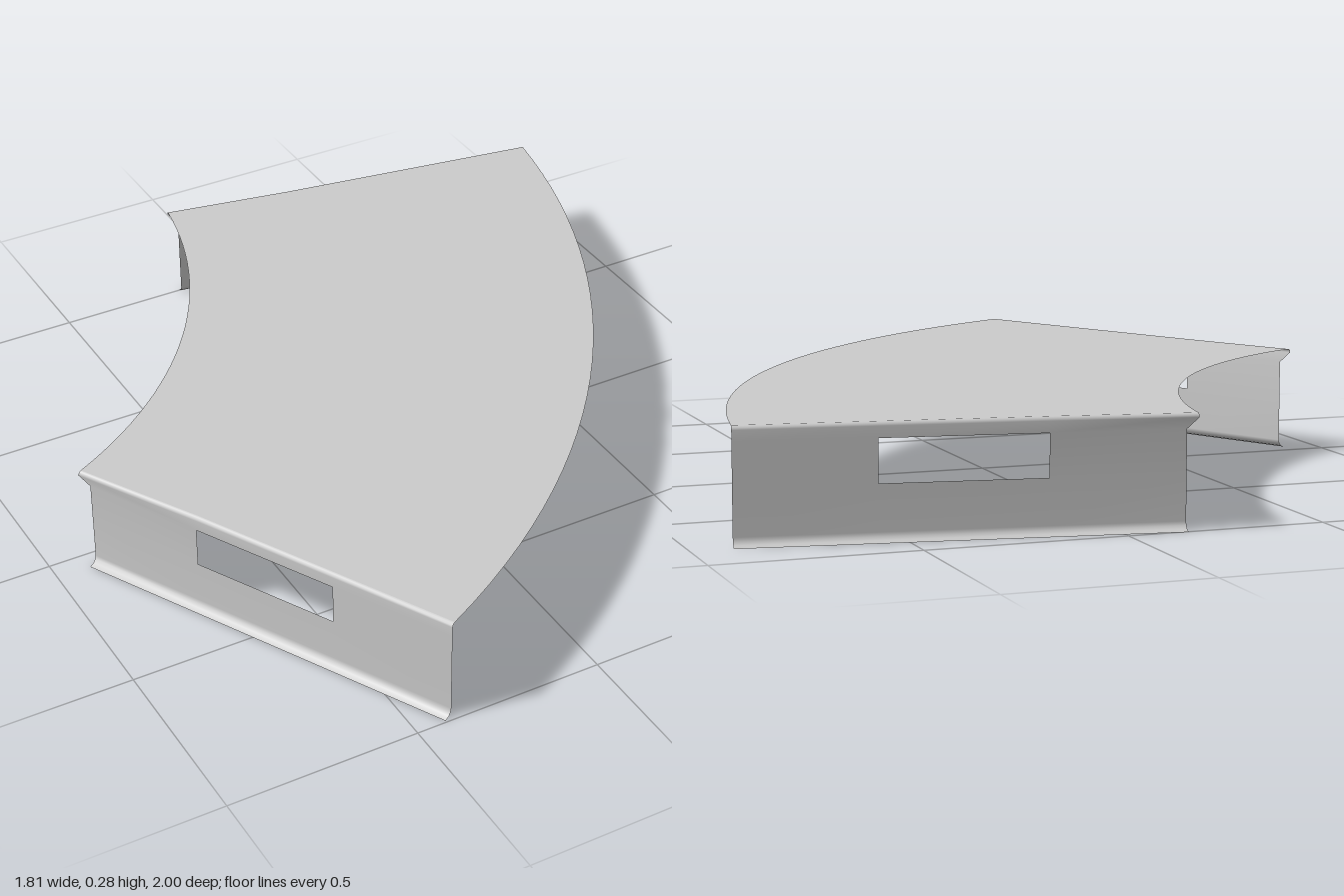
import * as THREE from 'three';

// Curved sheet: arc centre in plan, radii, end angles and height
const CX = -1.53, CZ = -1.195;
const R0 = 1.366, R1 = 2.455, NOTCH = 0.027;
const A0 = THREE.MathUtils.degToRad(8.85), A1 = THREE.MathUtils.degToRad(62.6);
const TOP = 0.278, BEND = 0.01;
const SLOT = [1.72, 2.12], SLOT_Y = [0.24, 0.135];
const stations = [R0, SLOT[0], SLOT[1], R1];

const material = new THREE.MeshStandardMaterial({ color: 0xcccccc, side: THREE.DoubleSide });

// Indexed grid surface; skip(i, j) leaves a hole in a cell
function gridMesh(name, rows, cols, point, flip = false, skip = () => false) {
  const pos = [], index = [];
  for (let i = 0; i < rows; i++)
    for (let j = 0; j < cols; j++) pos.push(...point(i, j));
  for (let i = 0; i < rows - 1; i++)
    for (let j = 0; j < cols - 1; j++) {
      if (skip(i, j)) continue;
      const a = i * cols + j, b = a + cols, c = b + 1, d = a + 1;
      index.push(...(flip ? [a, c, b, a, d, c] : [a, b, c, a, c, d]));
    }
  const geo = new THREE.BufferGeometry();
  geo.setAttribute('position', new THREE.Float32BufferAttribute(pos, 3));
  geo.setIndex(index);
  geo.computeVertexNormals();
  const mesh = new THREE.Mesh(geo, material);
  mesh.name = name;
  return mesh;
}

// The inner top corner of each end leans slightly outward
const lean = (j) => (j === 0 ? 0.01 : 0);

// Flange profile from top to lip: [outward offset, height]
const profile = [
  [-BEND, TOP], [-0.005, TOP - 0.0013], [-0.0013, TOP - 0.005], [0, TOP - BEND],
  [0, SLOT_Y[0]], [0, SLOT_Y[1]], [0, 0.022],
  [0.003, 0.012], [0.01, 0.005], [0.024, 0],
];

// Bent-down end with a rectangular slot and a flared bottom lip
function flange(name, angle, side) {
  const c = Math.cos(angle), s = Math.sin(angle);
  const point = (i, j) => {
    const upper = i < 4;
    const r = j === 0 && !upper ? R0 + NOTCH : stations[j];
    const out = side * (profile[i][0] + (upper ? lean(j) : 0));
    return [CX + r * c - out * s, profile[i][1], CZ + r * s + out * c];
  };
  return gridMesh(name, profile.length, stations.length, point, side < 0,
    (i, j) => i === 4 && j === 1);
}

export function createModel() {
  const group = new THREE.Group();
  group.name = 'curvedCover';

  // Top plate swept between the two end bends
  const SEG = 28;
  group.add(gridMesh('topPlate', SEG + 1, stations.length, (i, j) => {
    const r = stations[j], inset = (BEND - lean(j)) / r;
    const a = THREE.MathUtils.lerp(A0 + inset, A1 - inset, i / SEG);
    return [CX + r * Math.cos(a), TOP, CZ + r * Math.sin(a)];
  }));

  group.add(flange('backFlange', A0, -1));
  group.add(flange('frontFlange', A1, 1));
  return group;
}
